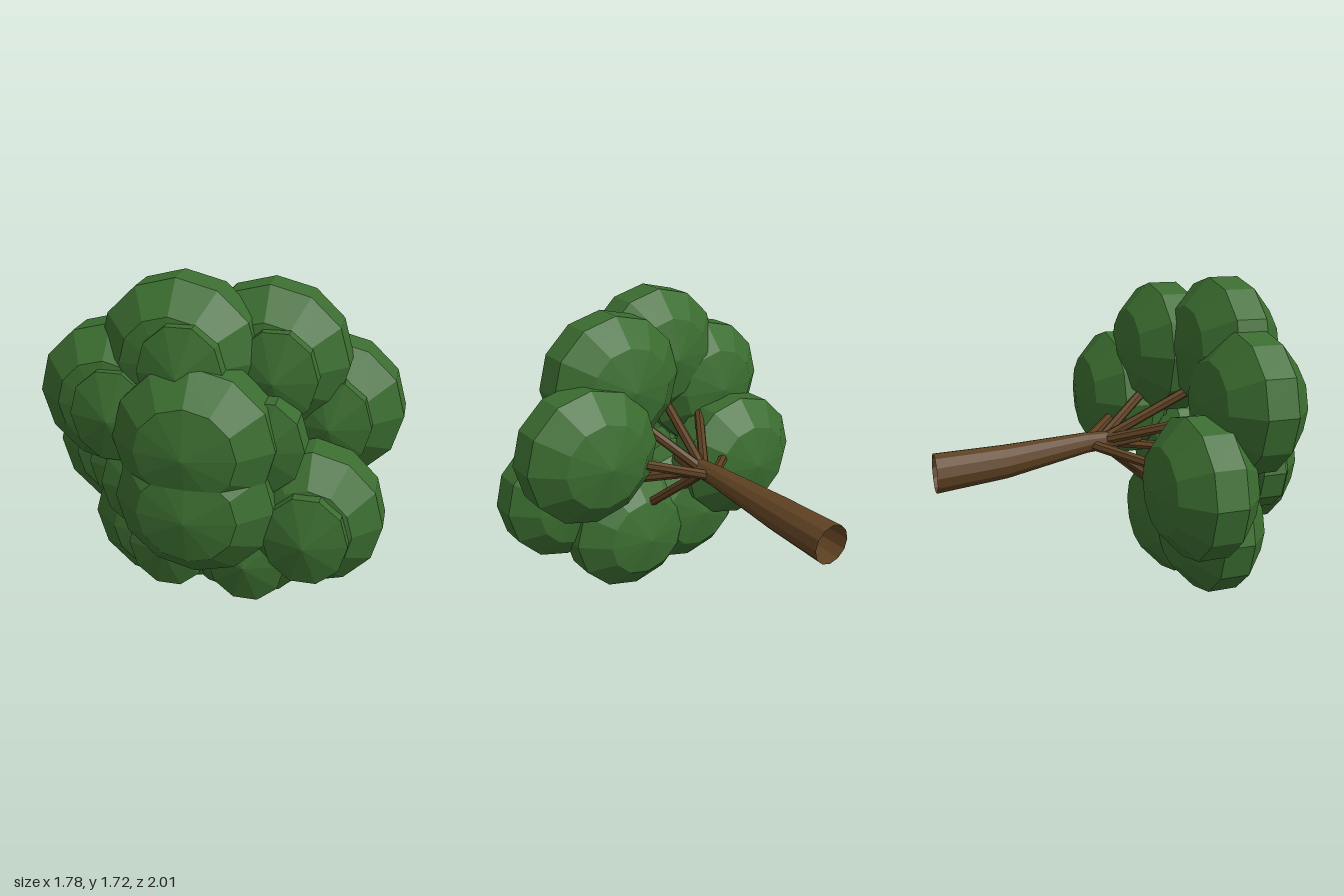
import * as THREE from 'three';

export function createModel() {
  const model = new THREE.Group();
  model.name = 'tree';

  const leafGreen = new THREE.MeshStandardMaterial({ color: 0x3b6d30 });
  leafGreen.name = 'leafGreen';
  leafGreen.flatShading = true;
  const barkBrown = new THREE.MeshStandardMaterial({ color: 0x5e4122, side: THREE.DoubleSide });
  barkBrown.name = 'barkBrown';
  barkBrown.flatShading = true;

  // Faceted puffs whose poles lie along z
  const bigPuff = new THREE.SphereGeometry(1, 12, 5).rotateX(Math.PI / 2);
  const smallPuff = new THREE.SphereGeometry(1, 10, 3).rotateX(Math.PI / 2);
  const foliage = new THREE.Group();
  foliage.name = 'foliage';
  model.add(foliage);

  function addPuff(name, geometry, position, size) {
    const puff = new THREE.Mesh(geometry, leafGreen);
    puff.name = name;
    puff.position.set(...position);
    puff.scale.set(...size);
    foliage.add(puff);
  }

  // Large leaf clusters: a ring of seven and two at the front
  [
    [0.51, 1.0, 0.18],
    [0.25, 1.3, 0.35],
    [-0.14, 1.355, 0.53],
    [-0.46, 1.12, 0.52],
    [-0.51, 0.72, 0.25],
    [-0.26, 0.415, 0.43],
    [0.14, 0.37, 0.405],
    [-0.02, 1.02, 0.74],
    [-0.02, 0.71, 0.74],
  ].forEach((p, i) => addPuff('leafCluster' + (i + 1), bigPuff, p, [0.4, 0.385, 0.265]));
  addPuff('leafCluster10', bigPuff, [0.5, 0.6, 0.57], [0.36, 0.37, 0.25]);

  // Small clusters swelling out of the large ones
  [
    [0.5, 0.58, 0.76],
    [-0.2, 0.37, 0.63],
    [0.19, 0.32, 0.6],
    [-0.08, 1.335, 0.73],
    [0.31, 1.28, 0.55],
    [-0.42, 1.09, 0.71],
    [0.55, 1.0, 0.38],
    [-0.46, 0.7, 0.45],
    [0.28, 1.0, 0.69],
    [-0.3, 0.73, 0.69],
  ].forEach((p, i) => addPuff('smallLeafCluster' + (i + 1), smallPuff, p, [0.23, 0.265, 0.13]));

  // Open tapering limb made from rings [x, y, z, radius] that face along z
  function limb(name, rings, sides) {
    const positions = [];
    const index = [];
    rings.forEach(([x, y, z, r], j) => {
      for (let i = 0; i < sides; i++) {
        const a = (i / sides) * Math.PI * 2;
        positions.push(x + r * Math.cos(a), y + r * Math.sin(a), z);
        if (j === 0) continue;
        const n = (i + 1) % sides;
        const lo = (j - 1) * sides;
        const hi = j * sides;
        index.push(lo + i, lo + n, hi + n, lo + i, hi + n, hi + i);
      }
    });
    const geometry = new THREE.BufferGeometry();
    geometry.setAttribute('position', new THREE.Float32BufferAttribute(positions, 3));
    geometry.setIndex(index);
    geometry.computeVertexNormals();
    const mesh = new THREE.Mesh(geometry, barkBrown);
    mesh.name = name;
    model.add(mesh);
  }

  limb('trunk', [
    [-0.105, 0.8, -1, 0.102],
    [-0.085, 0.82, -0.64, 0.088],
    [-0.04, 0.865, -0.2, 0.056],
    [-0.025, 0.87, 0.0, 0.045],
    [-0.02, 0.86, 0.12, 0.02],
  ], 12);

  // Branches fanning out from the top of the trunk into the clusters
  [
    [0.3, 0.93, 0.08],
    [-0.34, 0.79, 0.1],
    [-0.17, 0.56, 0.3],
    [0.12, 0.52, 0.28],
    [0.18, 1.1, 0.24],
    [-0.1, 1.12, 0.36],
    [-0.34, 1.02, 0.35],
    [0.3, 0.7, 0.38],
  ].forEach(([x, y, z], i) => {
    const start = new THREE.Vector3(-0.03, 0.865, i < 2 ? -0.2 : -0.12);
    const end = new THREE.Vector3(x, y, z);
    const path = new THREE.LineCurve3(start, end);
    const branch = new THREE.Mesh(new THREE.TubeGeometry(path, 1, 0.027, 7), barkBrown);
    branch.name = 'branch' + (i + 1);
    model.add(branch);
  });

  return model;
}
